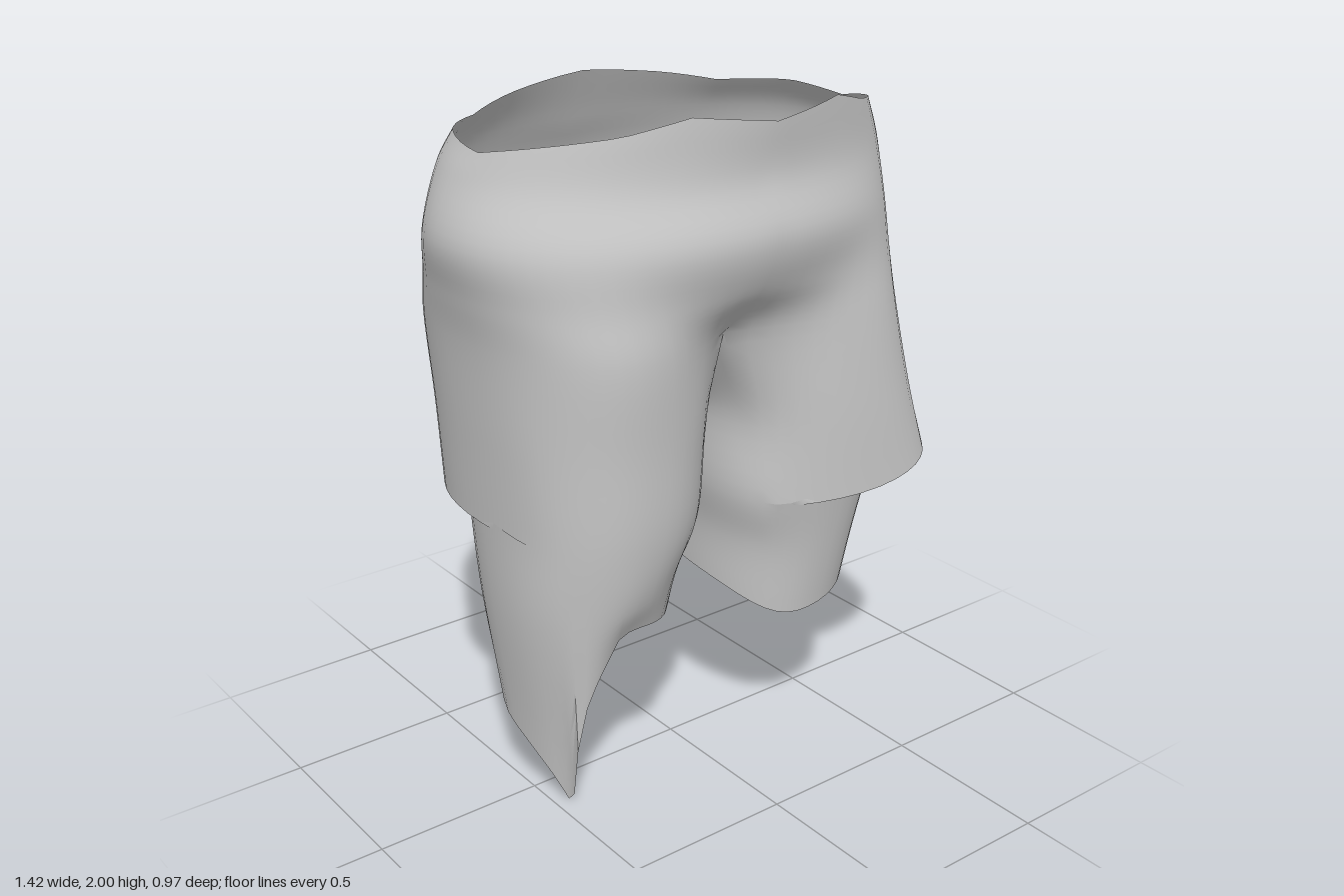
import * as THREE from 'three';
import { toCreasedNormals } from 'three/addons/utils/BufferGeometryUtils.js';

const OUT = 36, INN = 16, N = OUT + INN; // columns on the outer wrap and on the inner thigh
const SPREAD = 0.9; // how far the outer wrap turns round towards the inner thigh
const STEPS = 6;
const SEAM_X = -0.03;
const FRONT = new THREE.Vector3(-0.08, 1.4, 0.33), BACK = new THREE.Vector3(-0.03, 1.4, -0.26);

const spow = (v, p) => Math.sign(v) * Math.pow(Math.abs(v), p);

function legAngle(c) {
  const wrap = Math.PI + 2 * SPREAD;
  return c <= OUT ? -SPREAD + wrap * c / OUT
    : Math.PI + SPREAD + (2 * Math.PI - wrap) * (c - OUT) / INN;
}

// Piecewise linear lookup: pairs of [degrees, height]
function lookup(table, angle) {
  const d = ((THREE.MathUtils.radToDeg(angle) % 360) + 360) % 360;
  const i = table.findIndex(([end], k) => k > 0 && d <= end + 1e-6);
  const [d0, h0] = table[i - 1], [d1, h1] = table[i];
  return h0 + (h1 - h0) * (d - d0) / (d1 - d0);
}

// Half of a hip ring, front centre round the side to back centre
function hipRing(s, rx, z0, z1, yOf, pFront, pBack) {
  return Array.from({ length: OUT + 1 }, (_, c) => {
    const a = Math.PI * c / OUT, p = c > OUT / 2 ? pBack : pFront;
    return new THREE.Vector3(SEAM_X + s * rx * spow(Math.sin(a), p), yOf(a),
      (z0 + z1) / 2 + (z1 - z0) / 2 * spow(Math.cos(a), p));
  });
}

// Closed leg ring within xIn..xOut and z0..z1
function legRing(s, xIn, xOut, z0, z1, yOf, p = 0.9) {
  const cx = (xIn + xOut) / 2, rx = Math.abs(xOut - xIn) / 2;
  return Array.from({ length: N }, (_, c) => {
    const a = legAngle(c);
    return new THREE.Vector3(cx + s * rx * spow(Math.sin(a), p), yOf(a),
      (z0 + z1) / 2 + (z1 - z0) / 2 * spow(Math.cos(a), p));
  });
}

// How much each column takes part in a flare towards one direction
const flareWeight = (c, degrees) =>
  Math.max(0, Math.cos(legAngle(c) - THREE.MathUtils.degToRad(degrees)));

// Ring pushed out on one side
function flared(ring, degrees, dx, dz) {
  return ring.map((p, c) => {
    const w = flareWeight(c, degrees);
    return new THREE.Vector3(p.x + dx * w, p.y, p.z + dz * w);
  });
}

// Start of the lower leg: unflared ring, lifted inside the hem
const tucked = (ring, degrees) => ring.map((p, c) =>
  new THREE.Vector3(p.x, p.y + 0.05 * flareWeight(c, degrees), p.z));

// Ring where the leg leaves the hips: pulled to the seam, sagging between the legs
function crotchRing(s, xIn, xOut, z0, z1) {
  const ring = legRing(s, xIn, xOut, z0, z1, () => 1.4);
  const f = FRONT.clone().sub(ring[0]), b = BACK.clone().sub(ring[OUT]);
  for (let c = 0; c <= OUT; c++) {
    ring[c].addScaledVector(f, Math.max(0, 1 - c / 5) ** 2);
    ring[c].addScaledVector(b, Math.max(0, 1 - (OUT - c) / 5) ** 2);
  }
  for (let c = OUT + 1; c < N; c++) {
    const t = (c - OUT) / INN;
    ring[c].lerpVectors(BACK, FRONT, t);
    ring[c].y -= 0.2 * Math.sin(Math.PI * t);
  }
  return ring;
}

// Ring between the hips and the crotch, staying fuller along the centre seam
function lapRing(hip, crotch) {
  return hip.map((p, c) => {
    const edge = Math.min(1, Math.min(c, OUT - c) / 6);
    const q = p.clone().lerp(crotch[c], 0.3 + 0.2 * edge);
    q.y = 1.53;
    return q;
  });
}

// Smooth rows of points through key rings
function smooth(keys, column) {
  const curve = new THREE.CatmullRomCurve3(keys.map(k => k[column]));
  const n = (keys.length - 1) * STEPS;
  return Array.from({ length: n + 1 }, (_, i) => curve.getPoint(i / n));
}

// One half of the trousers: hips, thigh to the hem, then the narrower lower leg
function buildHalf(s, hipKeys, crotch, thigh, lower) {
  const hips = [...hipKeys, lapRing(hipKeys[hipKeys.length - 1], crotch)];
  const hipRows = hips.length * STEPS, columns = [];
  const cuff = thigh[thigh.length - 1];
  const legUpper = [crotch, ...thigh], legAll = [...legUpper, ...lower.slice(1)];
  for (let c = 0; c < N; c++) {
    const atSeam = c === 0 || c === OUT, inner = c > OUT;
    const flush = cuff[c].distanceTo(lower[0][c]) < 1e-6; // no hem step here
    const legKeys = flush ? legAll : legUpper;
    let rows;
    if (atSeam) rows = [...smooth([...hips, crotch], c), ...smooth(legKeys, c).slice(1)];
    else if (inner) rows = [...Array(hipRows).fill(crotch[c]), ...smooth(legKeys, c)];
    else rows = smooth([...hips, ...legKeys], c);
    const hemRow = hipRows + thigh.length * STEPS;
    columns.push([...rows.slice(0, hemRow + 1), ...(flush ? rows.slice(hemRow) : smooth(lower, c))]);
  }
  const rows = columns[0].length, pos = [], index = [];
  for (let r = 0; r < rows; r++)
    for (let c = 0; c < N; c++) pos.push(...columns[c][r].toArray());
  for (let r = 0; r < rows - 1; r++)
    for (let c = 0; c < N; c++) {
      if (c >= OUT && r < hipRows) continue; // hips are open inside
      const n = (c + 1) % N;
      const a = r * N + c, b = a + N, d = (r + 1) * N + n, e = r * N + n;
      if (s > 0) index.push(a, b, d, a, d, e);
      else index.push(a, d, b, a, e, d);
    }
  return { pos, index };
}

export function createModel() {
  const group = new THREE.Group();
  group.name = 'tornTrousers';

  // Waist edge rises at the front and the back centre
  const waist = [[0, 1.97], [25, 2], [42, 1.96], [70, 1.925], [90, 1.9], [112, 1.92], [140, 1.915], [158, 1.945], [180, 1.975]];
  const hips = (s, rx, pBack) => [
    hipRing(s, rx[0], -0.36, 0.47, a => lookup(waist, a), 1.1, 0.85),
    hipRing(s, rx[1], -0.425, 0.455, () => 1.83, 1, 0.88),
    hipRing(s, rx[2], -0.485, 0.485, () => 1.67, 0.95, pBack),
  ];

  // Left leg: stepping forward, hem flaring at the outer front over a short lower leg
  const leftHem = [[0, 0.86], [45, 0.9], [80, 0.93], [130, 0.9], [180, 0.85], [270, 0.89], [330, 0.85], [360, 0.86]];
  const leftCuff = legRing(1, 0.01, 0.59, -0.305, 0.395, a => lookup(leftHem, a), 0.85);
  const left = buildHalf(1, hips(1, [0.6, 0.65, 0.67], 0.85),
    crotchRing(1, -0.03, 0.64, -0.425, 0.43),
    [
      flared(legRing(1, -0.02, 0.62, -0.35, 0.41, () => 1.13), 50, 0.06, 0.04),
      flared(leftCuff, 52, 0.14, 0.06),
    ],
    [
      tucked(leftCuff, 52),
      legRing(1, 0.04, 0.545, -0.295, 0.355, a => 0.74 - 0.05 * Math.cos(a)),
      legRing(1, 0.05, 0.525, -0.28, 0.315, a => 0.58 - 0.1 * Math.cos(a) + 0.012 * Math.sin(4 * a)),
    ]);

  // Right leg: trailing, hem flaring only at the back, torn to a long point at the outer front
  const tear = [[0, 0.59], [10, 0.58], [25, 0.47], [38, 0.34], [52, 0], [58, 0], [72, 0.1], [92, 0.2],
    [130, 0.32], [180, 0.39], [235, 0.4], [247, 0.57], [300, 0.56], [360, 0.59]];
  const torn = legRing(-1, -0.12, -0.555, -0.23, 0.28, a => lookup(tear, a));
  for (const p of torn) {
    const k = 1 - 0.36 * Math.max(0, 1 - p.y / 0.25);
    p.x = -0.33 + (p.x + 0.33) * k;
    p.z = 0.02 + (p.z - 0.02) * k;
  }
  const rightCuff = legRing(-1, -0.045, -0.615, -0.32, 0.37, () => 0.87);
  const right = buildHalf(-1, hips(-1, [0.6, 0.63, 0.68], 0.97),
    crotchRing(-1, -0.03, -0.66, -0.48, 0.42),
    [
      flared(legRing(-1, -0.025, -0.635, -0.37, 0.395, () => 1.13), 155, 0, -0.1),
      flared(rightCuff, 153, 0, -0.14),
    ],
    [
      tucked(rightCuff, 153),
      legRing(-1, -0.09, -0.595, -0.28, 0.325, a => 0.68 - 0.08 * Math.sin(a)),
      torn,
    ]);

  // Join both halves into one cloth surface
  const geometry = new THREE.BufferGeometry();
  const offset = left.pos.length / 3;
  geometry.setAttribute('position', new THREE.Float32BufferAttribute([...left.pos, ...right.pos], 3));
  geometry.setIndex([...left.index, ...right.index.map(i => i + offset)]);
  const material = new THREE.MeshStandardMaterial({ color: 0xcccccc, side: THREE.DoubleSide });
  const cloth = new THREE.Mesh(toCreasedNormals(geometry, 0.9), material);
  cloth.name = 'trouserCloth';
  group.add(cloth);
  return group;
}
